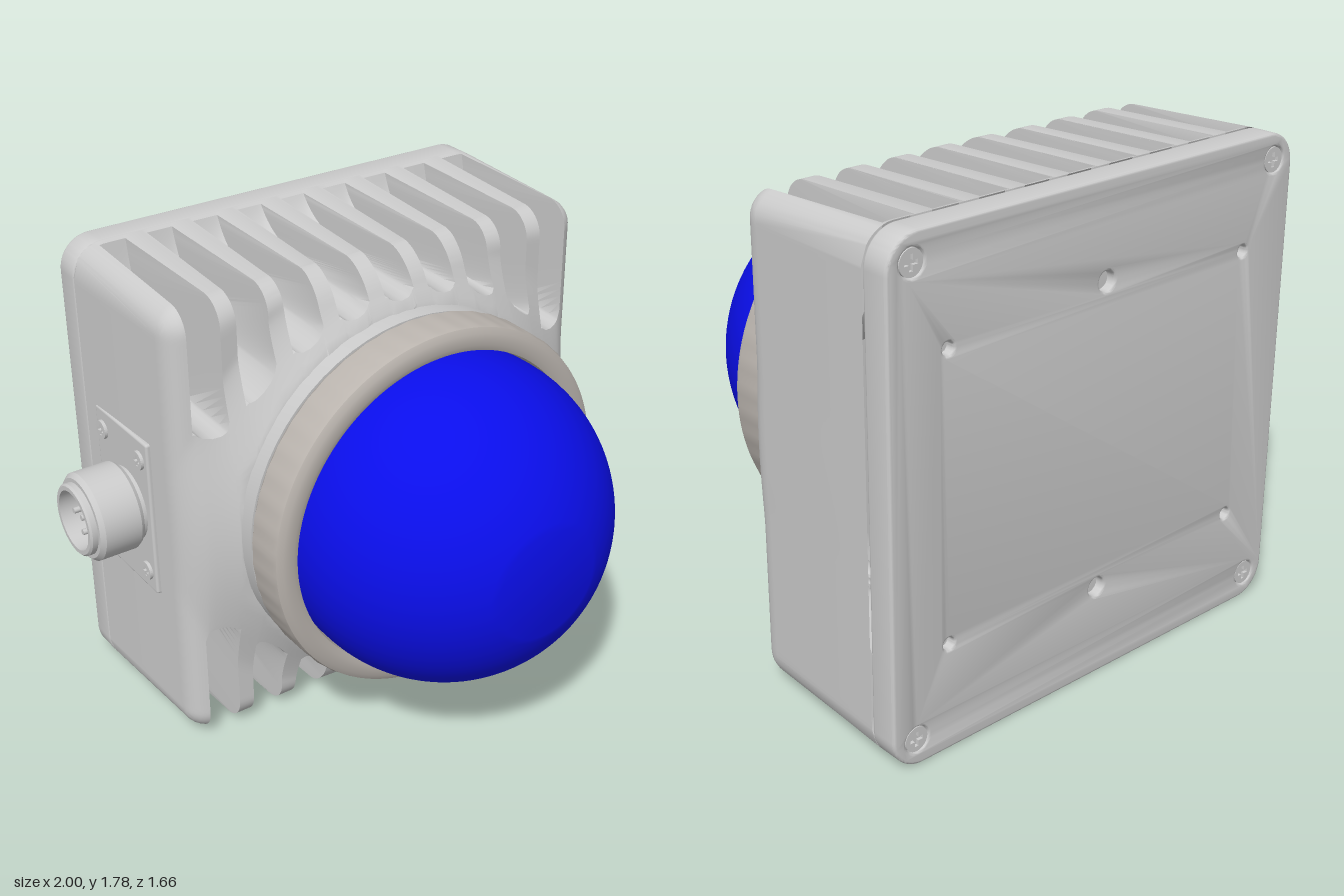
import * as THREE from 'three';
import { toCreasedNormals } from 'three/addons/utils/BufferGeometryUtils.js';
import { RoundedBoxGeometry } from 'three/addons/geometries/RoundedBoxGeometry.js';

const CX = 0.11, CY = 0.89, BASE_Z = -0.72;
const grey = new THREE.MeshStandardMaterial({ color: 0xcccccc });
const greyDouble = new THREE.MeshStandardMaterial({ color: 0xcccccc, side: THREE.DoubleSide });
const ringGrey = new THREE.MeshStandardMaterial({ color: 0xbab4ae, side: THREE.DoubleSide });
const blue = new THREE.MeshStandardMaterial({ color: 0x0a0eea });

function add(parent, name, geometry, material = grey) {
  const mesh = new THREE.Mesh(geometry, material);
  mesh.name = name;
  parent.add(mesh);
  return mesh;
}

// Solid of revolution whose axis points to +z; points are [radius, z]
function turned(points, segments = 64) {
  const g = new THREE.LatheGeometry(points.map(p => new THREE.Vector2(p[0], p[1])), segments);
  g.rotateX(Math.PI / 2);
  return toCreasedNormals(g, 0.5);
}

function roundedSquare(h, r) {
  const s = new THREE.Shape();
  s.absarc(h - r, h - r, r, 0, Math.PI / 2);
  s.absarc(r - h, h - r, r, Math.PI / 2, Math.PI);
  s.absarc(r - h, r - h, r, Math.PI, Math.PI * 1.5);
  s.absarc(h - r, r - h, r, Math.PI * 1.5, Math.PI * 2);
  s.closePath();
  return s;
}

// Height of the housing front: flat, rounded at the rim, raised around the neck
function frontZ(x, y) {
  const qx = Math.abs(x) - 0.77, qy = Math.abs(y) - 0.77, r = 0.1;
  const sdf = Math.hypot(Math.max(qx, 0), Math.max(qy, 0)) + Math.min(Math.max(qx, qy), 0) - 0.1;
  const k = r - Math.min(r, Math.max(0, -sdf));
  const t = THREE.MathUtils.clamp((Math.hypot(x, y) - 0.69) / 0.21, 0, 1);
  return -0.08 + 0.1 * (1 - t) ** 1.4 - (r - Math.sqrt(Math.max(0, r * r - k * k)));
}

const rimY = (x, half, r) => {
  const d = Math.max(0, Math.abs(x) - half + r);
  return half - r + Math.sqrt(Math.max(0, r * r - d * d));
};

// Half cross-section of the housing at one x, from the middle to the rim, as [y, z]
function halfSection({ x, dx, groove }) {
  const pts = [], n1 = 18, n2 = 24;
  const cut = Math.min(Math.abs(dx), 0.052);
  const y0 = Math.max(0.39, Math.sqrt(Math.max(0, 0.725 ** 2 - (0.9 * x) ** 2)))
    + 0.6 * (0.055 - Math.sqrt(0.055 ** 2 - cut * cut));
  const rim = rimY(x, 0.87, 0.1);
  for (let i = 0; i < n1; i++) {
    const y = y0 * i / n1;
    pts.push([y, frontZ(x, y)]);
  }
  const zf = frontZ(x, y0);
  for (let i = 0; i <= n2; i++) {
    const t = i / n2;
    if (!groove) {
      const y = y0 + (rim - y0) * Math.sin(t * Math.PI / 2);
      pts.push([y, frontZ(x, y)]);
    } else if (t < 0.25) {
      const s = t / 0.25;
      pts.push([y0 + 0.01 * s, zf + (-0.38 - zf) * s]);
    } else {
      const s = (t - 0.25) / 0.75, a = (1 - s) ** 2, b = 2 * s * (1 - s), c = s * s;
      pts.push([a * (y0 + 0.01) + b * (y0 + 0.02) + c * (rim + 0.015), a * -0.38 + b * -0.62 + c * -0.7]);
    }
  }
  pts.push([rimY(x, 0.89, 0.12), BASE_Z]);
  return pts;
}

// Finned housing lofted through cross-sections along x
function housingGeometry() {
  const cols = [];
  const rim = [0.82, 0.835, 0.85, 0.86, 0.867, 0.87];
  [...rim].reverse().forEach(x => cols.push({ x: -x, dx: 0.06 }));
  for (let k = -4; k <= 4; k++) {
    const c = k * 0.1855;
    cols.push({ x: c - 0.062, dx: 0.06 });
    for (const dx of [-0.052, -0.047, -0.03, 0, 0.03, 0.047, 0.052]) cols.push({ x: c + dx, dx, groove: true });
    cols.push({ x: c + 0.062, dx: 0.06 });
  }
  rim.forEach(x => cols.push({ x, dx: 0.06 }));
  const sections = cols.map(c => {
    const h = halfSection(c);
    const low = h.slice(1).reverse().map(p => [-p[0], p[1]]);
    return [...low, ...h].map(([y, z]) => [c.x, y, z]);
  });
  // Side walls run back to the base
  const wall = (s, x) => s.map(p => [x, THREE.MathUtils.clamp(p[1], -0.78, 0.78), BASE_Z]);
  sections.unshift(wall(sections[0], -0.89));
  sections.push(wall(sections[sections.length - 1], 0.89));
  const rows = sections[0].length, index = [];
  for (let i = 0; i < sections.length - 1; i++) {
    for (let j = 0; j < rows - 1; j++) {
      const a = i * rows + j, b = a + rows;
      index.push(a, b, b + 1, a, b + 1, a + 1);
    }
  }
  const g = new THREE.BufferGeometry();
  g.setAttribute('position', new THREE.Float32BufferAttribute(sections.flat(2), 3));
  g.setIndex(index);
  return toCreasedNormals(g, 0.6);
}

// Screw head with a cross recess, facing +z, its top at z = 0
function screw(parent, name, r) {
  const group = new THREE.Group();
  group.name = name;
  const head = new THREE.Shape().absarc(0, 0, r * 0.85, 0, Math.PI * 2);
  const a = r * 0.14, b = r * 0.5;
  head.holes.push(new THREE.Path([[a, b], [-a, b], [-a, a], [-b, a], [-b, -a], [-a, -a], [-a, -b], [a, -b],
    [a, -a], [b, -a], [b, a], [a, a]].map(p => new THREE.Vector2(...p))));
  const headGeo = new THREE.ExtrudeGeometry(head, { depth: 0.014, bevelEnabled: false, curveSegments: 16 });
  add(group, 'screwHead', headGeo).position.z = -0.014;
  add(group, 'screwSeat', new THREE.CircleGeometry(r * 1.05, 24)).position.z = -0.012;
  parent.add(group);
  return group;
}

export function createModel() {
  const model = new THREE.Group();
  model.name = 'domeLamp';
  const body = new THREE.Group();
  body.name = 'lampBody';
  body.position.set(CX, CY, 0);
  model.add(body);

  add(body, 'finnedHousing', housingGeometry(), greyDouble);
  add(body, 'neck', turned([[0.693, -0.04], [0.693, 0.078], [0.6, 0.078]]), greyDouble);

  // Clamping ring with soft grip ribs
  const ring = new THREE.LatheGeometry([[0.6, 0.085], [0.69, 0.085], [0.702, 0.1], [0.702, 0.225], [0.695, 0.242],
    [0.675, 0.254], [0.635, 0.258], [0.614, 0.25], [0.605, 0.2]].map(p => new THREE.Vector2(...p)), 192);
  ring.rotateX(Math.PI / 2);
  const pos = ring.attributes.position;
  for (let i = 0; i < pos.count; i++) {
    const x = pos.getX(i), y = pos.getY(i);
    if (Math.hypot(x, y) < 0.7) continue;
    const s = 1 - 0.002 * (1 + Math.cos(48 * Math.atan2(y, x)));
    pos.setXY(i, x * s, y * s);
  }
  add(body, 'clampRing', toCreasedNormals(ring, 0.5), ringGrey);

  // Dome lens with a flat front
  const lens = [[0.605, 0.1]], R = 0.607, end = Math.acos(0.205 / R);
  for (let i = 0; i <= 28; i++) lens.push([R * Math.cos(end * i / 28), 0.257 + R * Math.sin(end * i / 28)]);
  lens.push([0, lens[lens.length - 1][1]]);
  add(body, 'domeLens', turned(lens, 96), blue);

  // Flat back cover with sunk screws and small blind holes
  const cover = roundedSquare(0.89, 0.12);
  const hole = (x, y, r) => cover.holes.push(new THREE.Path().absarc(x, y, r, 0, Math.PI * 2, true));
  for (const sy of [-1, 1]) {
    hole(0, sy * 0.55, 0.035);
    for (const sx of [-1, 1]) {
      hole(sx * 0.66, sy * 0.5, 0.022);
      hole(sx * 0.795, sy * 0.795, 0.046);
      const s = screw(body, 'coverScrew', 0.052);
      s.position.set(sx * 0.795, sy * 0.795, -0.826);
      s.rotation.y = Math.PI;
    }
  }
  const coverGeo = new THREE.ExtrudeGeometry(cover, { depth: 0.086, bevelSize: 0.01, bevelThickness: 0.01,
    bevelOffset: -0.01, bevelSegments: 3, curveSegments: 10 });
  add(body, 'backCover', toCreasedNormals(coverGeo, 0.6)).position.z = -0.82;
  add(body, 'holeFloor', new THREE.PlaneGeometry(1.5, 1.3), greyDouble).position.z = -0.795;

  // Cable connector on the right side, built facing +z and turned outwards
  const plug = new THREE.Group();
  plug.name = 'connector';
  plug.position.set(-0.78, 0.895, -0.44);
  plug.rotation.y = -Math.PI / 2;
  model.add(plug);
  add(plug, 'flange', new RoundedBoxGeometry(0.38, 0.62, 0.04, 3, 0.01)).position.set(-0.02, 0, -0.02);
  add(plug, 'socket', turned([[0.14, -0.01], [0.14, 0.02], [0.155, 0.02], [0.165, 0.035], [0.165, 0.175], [0.15, 0.192],
    [0.135, 0.192], [0.135, 0.213], [0.128, 0.22], [0.112, 0.22], [0.112, 0.12], [0, 0.12]], 48), greyDouble);
  for (let i = 0; i < 5; i++) {
    const a = i * Math.PI / 2, r = i < 4 ? 0.06 : 0;
    const pin = add(plug, 'contactPin', new THREE.CylinderGeometry(0.011, 0.011, 0.08, 10));
    pin.rotation.x = Math.PI / 2;
    pin.position.set(r * Math.cos(a), r * Math.sin(a), 0.15);
  }
  for (const sx of [-1, 1]) for (const sy of [-1, 1]) {
    screw(plug, 'flangeScrew', 0.042).position.set(-0.02 + sx * 0.135, sy * 0.23, 0.013);
  }
  return model;
}
